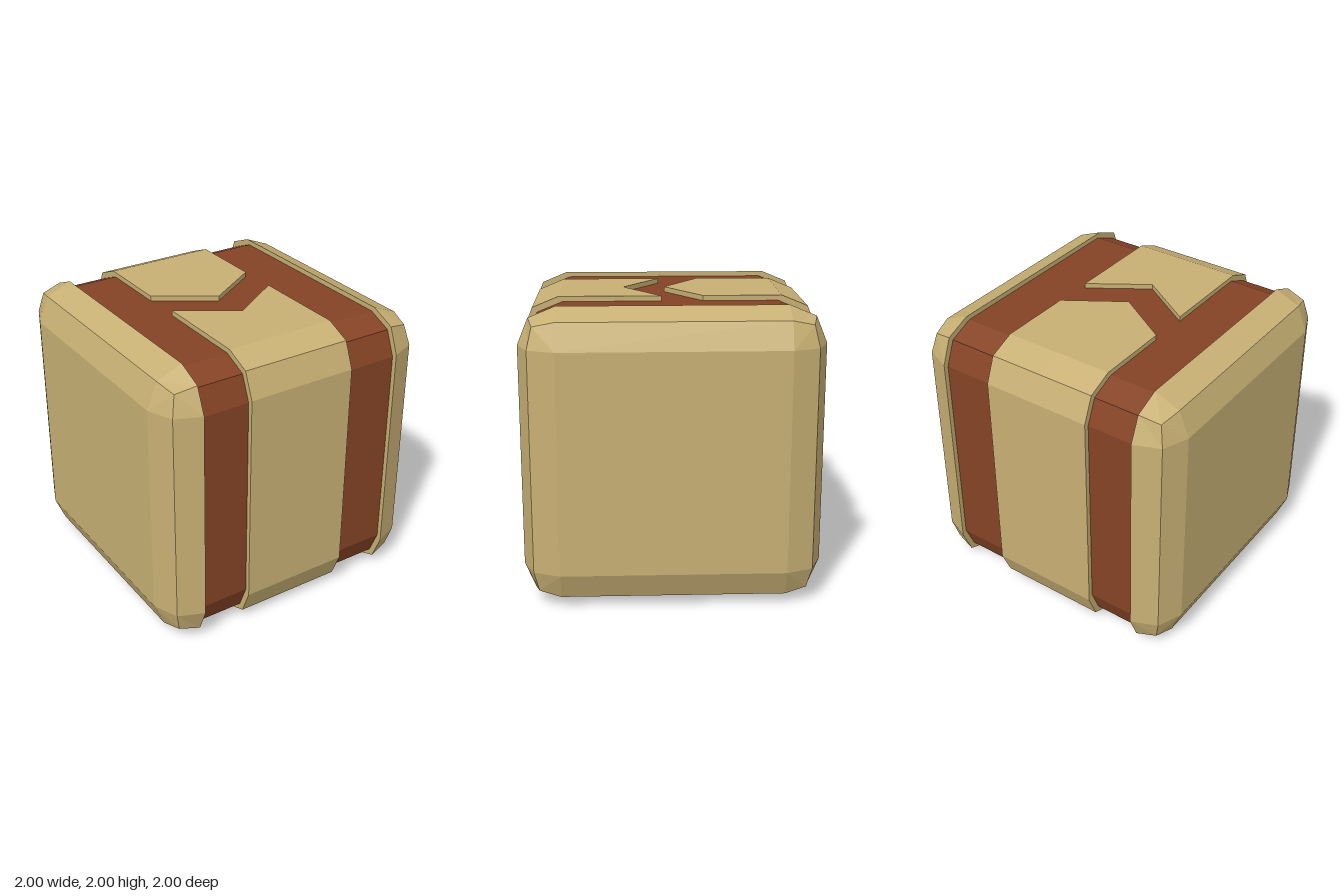
import * as THREE from 'three';

const FLAT = 0.75;           // half-width of the flat faces
const MID = 0.927;           // middle of each two-step bevel
const TIP = 0.894;           // middle of each rounded corner
const RECESS = 0.965;        // scale of the sunken core
const PANEL_X = [-0.405, -0.015, 0.375];

// Bevelled square in the y/z plane: top front, bottom front, bottom back, top back
const corner = (points, sy, sz, flip) => {
  const list = points.map(([y, z]) => [y * sy, z * sz]);
  return flip ? list.reverse() : list;
};
const outline = (points) => [
  ...corner(points, 1, 1, false),
  ...corner(points, -1, 1, true),
  ...corner(points, -1, -1, false),
  ...corner(points, 1, -1, true),
];
const PROFILE = outline([[1, FLAT], [MID, MID], [FLAT, 1]]);
const SHOULDER = outline([[MID, FLAT], [TIP, TIP], [FLAT, MID]]);
const FACE = outline([[FLAT, FLAT], [FLAT, FLAT], [FLAT, FLAT]]);

const close = (ring) => [...ring, ring[0]];
const ringAt = (profile, x, s = 1) => profile.map(([y, z]) => [x, y * s + 1, z * s]);

// Collects triangles and turns them into a flat-shaded mesh
class Builder {
  constructor() { this.data = []; }
  tri(a, b, c) {
    const [p, q, r] = [a, b, c].map((v) => new THREE.Vector3(...v));
    if (q.sub(p).cross(r.sub(p)).length() > 1e-8) this.data.push(...a, ...b, ...c);
  }
  quad(a, b, c, d) { this.tri(a, b, c); this.tri(a, c, d); }
  strip(r0, r1) {
    for (let i = 0; i < r0.length - 1; i++) this.quad(r0[i], r0[i + 1], r1[i + 1], r1[i]);
  }
  fan(ring, towardPlusX) {
    for (let i = 1; i < ring.length - 1; i++) {
      if (towardPlusX) this.tri(ring[0], ring[i], ring[i + 1]);
      else this.tri(ring[0], ring[i + 1], ring[i]);
    }
  }
  mesh(name, material) {
    const g = new THREE.BufferGeometry();
    g.setAttribute('position', new THREE.Float32BufferAttribute(this.data, 3));
    g.computeVertexNormals();
    const m = new THREE.Mesh(g, material);
    m.name = name;
    return m;
  }
}

// Rounded end slab of the cube
function endSlab(side, name, material) {
  const b = new Builder();
  const shoulderX = (i) => (i % 3 === 1 ? TIP : MID) * side;
  const rings = [
    ringAt(PROFILE, FLAT * side),
    SHOULDER.map(([y, z], i) => [shoulderX(i), y + 1, z]),
    ringAt(FACE, side),
  ];
  if (side < 0) rings.reverse();
  for (let i = 0; i < 2; i++) b.strip(close(rings[i]), close(rings[i + 1]));
  b.fan(rings[0], false);
  b.fan(rings[2], true);
  return b.mesh(name, material);
}

// Raised wrap around the middle, split on top by a V-shaped channel
function middleWrap(material) {
  const b = new Builder();
  const frontZ = [0.06, 0.315, 0.06];
  const backZ = [-0.22, 0.03, -0.22];
  const path = (k, s) => [
    [PANEL_X[k], s + 1, frontZ[k]],
    ...ringAt(PROFILE, PANEL_X[k], s),
    [PANEL_X[k], s + 1, backZ[k]],
  ];
  const outer = [0, 1, 2].map((k) => path(k, 1));
  const inner = [0, 1, 2].map((k) => path(k, RECESS));
  const last = outer[0].length - 1;
  for (let k = 0; k < 2; k++) {
    b.strip(outer[k], outer[k + 1]);
    // channel walls
    b.quad(outer[k][0], outer[k + 1][0], inner[k + 1][0], inner[k][0]);
    b.quad(outer[k][last], inner[k][last], inner[k + 1][last], outer[k + 1][last]);
  }
  // groove walls
  b.strip(inner[0], outer[0]);
  b.strip(outer[2], inner[2]);
  return b.mesh('middleWrap', material);
}

// Sunken core seen in the grooves and the channel
function core(material) {
  const b = new Builder();
  b.strip(close(ringAt(PROFILE, -FLAT, RECESS)), close(ringAt(PROFILE, FLAT, RECESS)));
  return b.mesh('recessedCore', material);
}

export function createModel() {
  const tan = new THREE.MeshStandardMaterial({ color: 0xc8b074 });
  tan.name = 'tan';
  const brown = new THREE.MeshStandardMaterial({ color: 0x854325 });
  brown.name = 'redBrown';

  const group = new THREE.Group();
  group.name = 'bandedCrate';
  group.add(
    core(brown),
    middleWrap(tan),
    endSlab(1, 'leftSlab', tan),
    endSlab(-1, 'rightSlab', tan),
  );
  return group;
}
